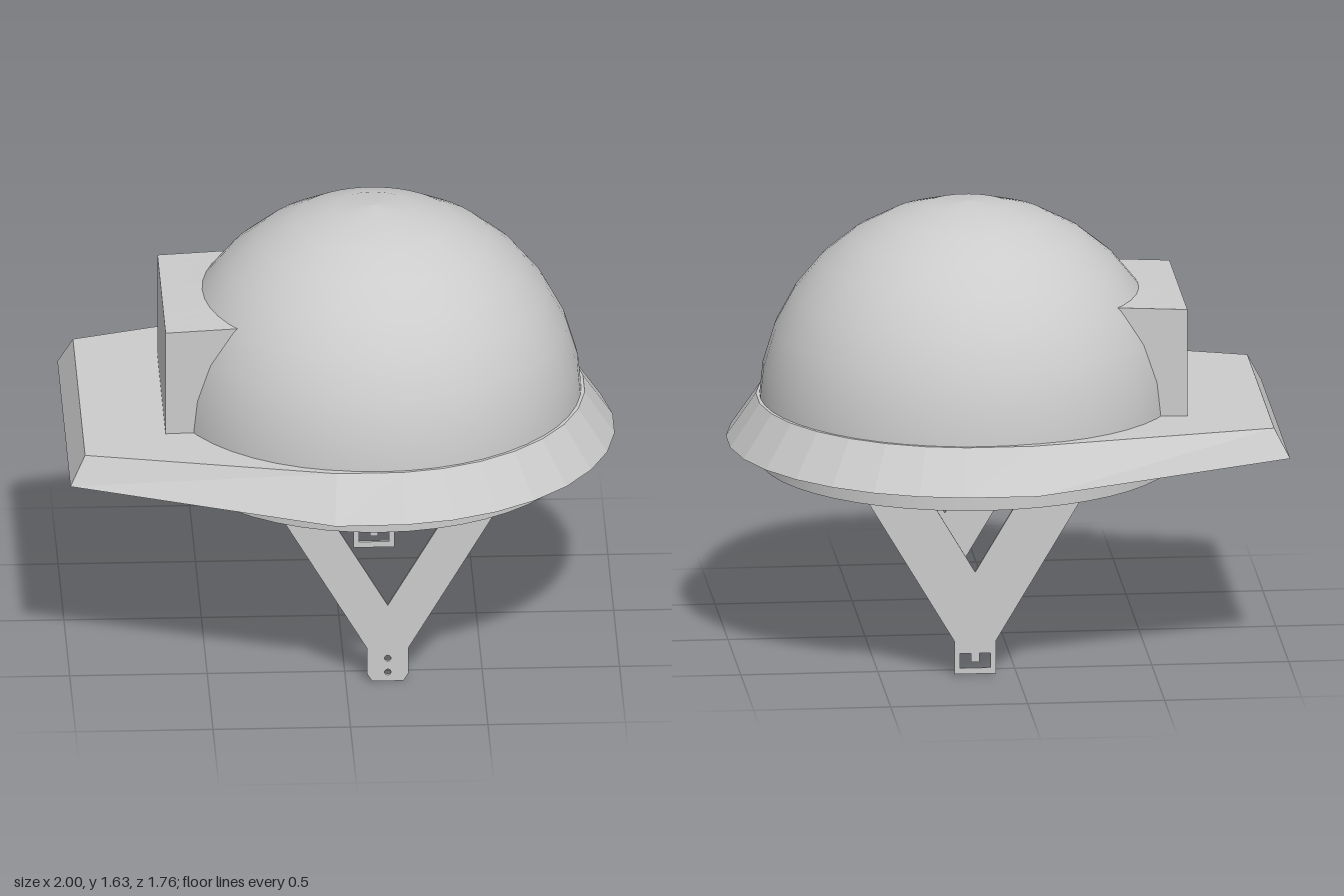
import * as THREE from 'three';

const CX = 0.125;          // dome axis
const R = 0.76;            // dome radius
const DOME_Y = 0.87;       // height where the dome starts to curve
const BASE_Y = 0.665;      // lower rim

const grey = () => new THREE.MeshStandardMaterial({ color: 0xcccccc, side: THREE.DoubleSide });

function addMesh(parent, name, geometry) {
  const mesh = new THREE.Mesh(geometry, grey());
  mesh.name = name;
  parent.add(mesh);
  return mesh;
}

// Straight band followed by a quarter circle, from rim to crown
function domeProfile(r) {
  const pts = [new THREE.Vector2(r, BASE_Y), new THREE.Vector2(r, 0.75)];
  for (let i = 0; i <= 8; i++) {
    const a = (i / 8) * Math.PI / 2;
    pts.push(new THREE.Vector2(Math.max(r * Math.cos(a), 0), DOME_Y + r * Math.sin(a)));
  }
  return pts;
}

// Brim outline, counter-clockwise from above: round side, then the visor corners
function brimOutline(r, shoulder, corner) {
  const pts = [];
  const n = 16;
  for (let i = 0; i < n; i++) {
    const a = ((i - (n - 1) / 2) * Math.PI) / 16;
    pts.push(new THREE.Vector2(CX + r * Math.cos(a), r * Math.sin(a)));
  }
  const [sx, sz] = shoulder, [cx, cz] = corner;
  pts.push(new THREE.Vector2(sx, sz), new THREE.Vector2(cx, cz),
    new THREE.Vector2(cx, -cz), new THREE.Vector2(sx, -sz));
  return pts;
}

// The visor tilts slightly towards its tip
const visorT = (x) => Math.max(0, -x - 0.04);
const topY = (x) => 0.905 - 0.022 * visorT(x);
const bottomY = (x) => 0.745 + 0.036 * visorT(x);

// Flat plate with a round opening for the dome, facing up or down
function brimPlate(outline, heightAt, up) {
  const shape = new THREE.Shape(outline);
  shape.holes.push(new THREE.Path().absarc(CX, 0, 0.75, 0, Math.PI * 2, true));
  const geo = new THREE.ShapeGeometry(shape, 16).rotateX(up ? -Math.PI / 2 : Math.PI / 2);
  const p = geo.attributes.position;
  for (let i = 0; i < p.count; i++) p.setY(i, heightAt(p.getX(i)));
  const flat = geo.toNonIndexed();
  flat.computeVertexNormals();
  return flat;
}

// Sloped faceted wall between the lower and upper outlines
function brimWall(lower, upper) {
  const pos = [];
  const low = (v) => [v.x, bottomY(v.x), -v.y];
  const high = (v) => [v.x, topY(v.x), -v.y];
  lower.forEach((v, i) => {
    const j = (i + 1) % lower.length;
    const a = low(v), b = low(lower[j]), c = high(upper[j]), d = high(upper[i]);
    pos.push(...a, ...b, ...c, ...a, ...c, ...d);
  });
  const geo = new THREE.BufferGeometry();
  geo.setAttribute('position', new THREE.Float32BufferAttribute(pos, 3));
  geo.computeVertexNormals();
  return geo;
}

// Block whose inner side follows the dome surface
function visorBlock() {
  const geo = new THREE.BoxGeometry(1, 1, 0.7, 1, 8, 10);
  const p = geo.attributes.position;
  for (let i = 0; i < p.count; i++) {
    const inner = p.getX(i) > 0;
    const z = p.getZ(i) + 0.005;
    const y = 0.88 + (p.getY(i) + 0.5) * (inner ? 0.425 : 0.412);
    const h = Math.max(0, y - DOME_Y);
    const x = inner ? CX - Math.sqrt(0.752 ** 2 - h * h - z * z) : -0.645;
    p.setXYZ(i, x, y, z);
  }
  const flat = geo.toNonIndexed();
  flat.computeVertexNormals();
  return flat;
}

// Y-shaped strap: half an outline mirrored about its centre line
function strapGeometry(notch, bottom, chamfer, holes) {
  const slope = 0.594;
  const outerX = 0.075 + (0.70 - 0.13) * slope;
  const width = (0.075 + (notch - 0.13) * slope) * 0.86;
  const half = [
    [0.075 - chamfer, bottom], [0.075, bottom + chamfer * 1.6], [0.075, 0.13],
    [outerX, 0.70], [outerX - width * 0.86, 0.70 + width * 0.51],
  ];
  const outline = [...half, [0, notch], ...half.map(([x, y]) => [-x, y]).reverse()];
  const shape = new THREE.Shape(outline.map(([x, y]) => new THREE.Vector2(x, y)));
  shape.holes.push(...holes);
  return new THREE.ExtrudeGeometry(shape, { depth: 0.012, bevelEnabled: false, curveSegments: 6 });
}

export function createModel() {
  const model = new THREE.Group();
  model.name = 'helmet';

  // Hollow dome shell
  const shell = new THREE.Group();
  shell.name = 'shell';
  shell.position.x = CX;
  model.add(shell);
  addMesh(shell, 'outerDome', new THREE.LatheGeometry(domeProfile(R), 48));
  addMesh(shell, 'innerDome', new THREE.LatheGeometry(domeProfile(R - 0.018).reverse(), 48));
  addMesh(shell, 'shellRim', new THREE.RingGeometry(R - 0.018, R, 48).rotateX(Math.PI / 2)).position.y = BASE_Y;

  // Brim with the visor
  const brim = new THREE.Group();
  brim.name = 'brim';
  model.add(brim);
  const lower = brimOutline(0.879, [-0.05, 0.88], [-1, 0.56]);
  const upper = brimOutline(0.77, [-0.04, 0.767], [-0.945, 0.52]);
  addMesh(brim, 'brimTop', brimPlate(upper, topY, true));
  addMesh(brim, 'brimUnderside', brimPlate(lower, bottomY, false));
  addMesh(brim, 'brimWall', brimWall(lower, upper));

  addMesh(model, 'visorBlock', visorBlock());

  // Strap with two round holes
  const roundHoles = [0.035, 0.09].map((y) => new THREE.Path().absarc(0, y, 0.012, 0, Math.PI * 2, true));
  addMesh(model, 'holedStrap', strapGeometry(0.30, 0, 0.018, roundHoles)).position.set(0.153, 0, 0.582);

  // Strap with a buckle window and a tongue hanging into it
  const windowPts = [[-0.055, 0.03], [-0.055, 0.085], [-0.015, 0.085], [-0.015, 0.052],
    [0.015, 0.052], [0.015, 0.085], [0.055, 0.085], [0.055, 0.03]];
  const buckleWindow = new THREE.Path(windowPts.map(([x, y]) => new THREE.Vector2(x, y)));
  addMesh(model, 'buckleStrap', strapGeometry(0.39, 0.008, 0, [buckleWindow])).position.set(0.153, 0, -0.594);

  return model;
}
